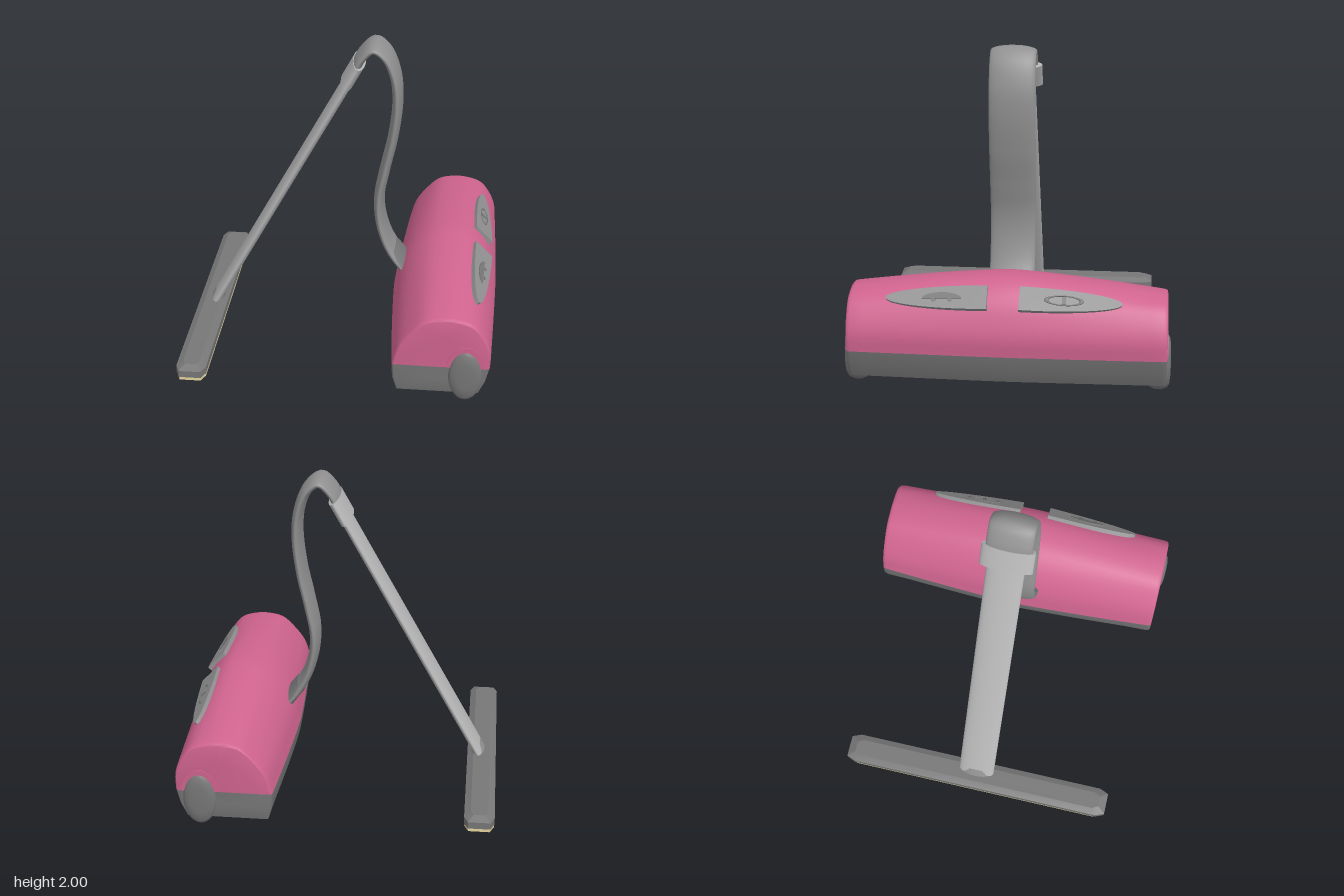
import * as THREE from 'three';
import { toCreasedNormals } from 'three/addons/utils/BufferGeometryUtils.js';

const V = (x, y, z = 0) => new THREE.Vector3(x, y, z);
const mat = (color) => new THREE.MeshStandardMaterial({ color, side: THREE.DoubleSide });

// Capped skin through closed rings of equal length
function loft(rings, crease = 0.6) {
  const n = rings[0].length, pos = [], idx = [];
  const centre = (r) => r.reduce((s, p) => s.add(p), V(0, 0)).divideScalar(n);
  rings.forEach((r) => r.forEach((p) => pos.push(p.x, p.y, p.z)));
  const last = rings.length - 1, c0 = n * rings.length;
  [rings[0], rings[last]].forEach((r) => pos.push(...centre(r).toArray()));
  for (let j = 0; j < n; j++) {
    const k = (j + 1) % n;
    for (let i = 0; i < last; i++) {
      const a = i * n + j, b = i * n + k;
      idx.push(a, b, b + n, a, b + n, a + n);
    }
    idx.push(c0, k, j, c0 + 1, last * n + j, last * n + k);
  }
  const g = new THREE.BufferGeometry();
  g.setAttribute('position', new THREE.Float32BufferAttribute(pos, 3));
  g.setIndex(idx);
  return toCreasedNormals(g, crease);
}

// Body skin: blends a middle profile into an end profile along z, with rounded rims
function bodyLoft(mid, end) {
  const stations = [];
  for (let i = -12; i <= 12; i++) stations.push([i / 12 * 0.95, 1]);
  for (const [z, s] of [[0.965, 0.99], [0.973, 0.97], [0.975, 0.95]]) {
    stations.push([z, s]);
    stations.unshift([-z, s]);
  }
  return loft(stations.map(([z, s]) => {
    const t = Math.pow(Math.min(1, Math.abs(z) / 0.95), 1.35);
    return mid.map((p, i) => {
      const q = p.clone().lerp(end[i], t);
      return V(0.68 + (q.x - 0.68) * s, 0.25 + (q.y - 0.25) * s, z);
    });
  }));
}
const points = (list) => list.map(([x, y]) => V(x, y));
const smooth = (list) => new THREE.CatmullRomCurve3(points(list)).getPoints(36);

// Straight rod in the xy plane, stretched to an oval along z
function rod(a, b, ra, rb, halfZ, z) {
  const d = b.clone().sub(a), m = a.clone().add(b).multiplyScalar(0.5);
  const g = new THREE.CylinderGeometry(rb, ra, d.length(), 40);
  g.rotateZ(Math.atan2(-d.x, d.y));
  g.scale(1, 1, halfZ / Math.max(ra, rb));
  g.translate(m.x, m.y, z);
  return g;
}

// Chamfered rectangle ring at height y for the floor head
function outline(hx, hz, cx, cz, y) {
  return [[hx, -hz + cz], [hx, hz - cz], [hx - cx, hz], [cx - hx, hz],
    [-hx, hz - cz], [-hx, cz - hz], [cx - hx, -hz], [hx - cx, -hz]]
    .map(([x, z]) => V(x - 0.905, y, 0.02 - z));
}

export function createModel() {
  const model = new THREE.Group();
  const pink = mat(0xd0648f), dark = mat(0x777777), mid = mat(0x909090);
  const light = mat(0xb4b4b4), cream = mat(0xe6d8a0);
  const add = (name, geometry, material, parent = model) => {
    const m = new THREE.Mesh(geometry, material);
    m.name = name;
    parent.add(m);
    return m;
  };

  // Body: coloured shell above a dark base
  add('bodyShell', bodyLoft(
    smooth([[0.99, 0.25], [0.995, 0.36], [0.965, 0.47], [0.91, 0.58], [0.81, 0.67],
      [0.7, 0.69], [0.57, 0.665], [0.45, 0.57], [0.36, 0.42], [0.32, 0.25]]),
    smooth([[0.975, 0.25], [0.975, 0.36], [0.94, 0.46], [0.87, 0.55], [0.77, 0.585],
      [0.68, 0.59], [0.57, 0.565], [0.48, 0.48], [0.41, 0.38], [0.37, 0.25]])), pink);
  add('bodyBase', bodyLoft(
    points([[0.32, 0.25], [0.33, 0.15], [0.38, 0.065], [0.93, 0.065], [0.97, 0.15], [0.99, 0.25]]),
    points([[0.37, 0.25], [0.375, 0.15], [0.4, 0.065], [0.91, 0.065], [0.95, 0.15], [0.975, 0.25]])), dark);

  // Oval wheels and their arches at both ends
  const wheelProfile = [[0, 0.135], [0.5, 0.134], [0.8, 0.128], [0.93, 0.113], [1, 0.08],
    [1, 0.04], [0.92, 0.01], [0.8, 0], [0, 0]].reverse().map(([r, h]) => new THREE.Vector2(r, h));
  for (const side of [1, -1]) {
    const wheel = new THREE.LatheGeometry(wheelProfile, 48);
    wheel.rotateX(side * Math.PI / 2);
    wheel.scale(0.11, 0.185, 1);
    wheel.translate(0.825, 0.195, side * 0.865);
    add(side > 0 ? 'frontWheel' : 'backWheel', toCreasedNormals(wheel, 0.9), dark);

    const arch = new THREE.Shape();
    arch.absellipse(0, 0, 0.125, 0.205, 0.28, Math.PI - 0.28, false);
    const archGeo = new THREE.ExtrudeGeometry(arch, { depth: 0.08, bevelEnabled: false, curveSegments: 32 });
    archGeo.translate(0.825, 0.195, side > 0 ? 0.9 : -0.98);
    add('wheelArch', toCreasedNormals(archGeo, 0.6), pink);
  }

  // Two raised half-oval pedals on the sloping side
  const pedalShape = new THREE.Shape();
  pedalShape.absellipse(0, 0, 0.62, 0.077, -Math.PI / 2, Math.PI / 2, false);
  for (const side of [1, -1]) {
    const pedal = new THREE.Group();
    pedal.name = side > 0 ? 'cordPedal' : 'powerPedal';
    const X = V(-0.03, -0.045, side).normalize();
    const Y = V(0.72, 0.69, 0).cross(X).normalize();
    pedal.setRotationFromMatrix(new THREE.Matrix4().makeBasis(X, Y, X.clone().cross(Y)));
    pedal.position.set(0.911, 0.607, side > 0 ? 0.115 : -0.08);
    model.add(pedal);
    const g = new THREE.ExtrudeGeometry(pedalShape, { depth: 0.075, bevelEnabled: false, curveSegments: 32 });
    g.translate(0, 0, -0.075);
    add('pedalPlate', toCreasedNormals(g, 0.6), mid, pedal);
    if (side < 0) {
      // Embossed ring and bar
      const ring = new THREE.TorusGeometry(1, 0.13, 8, 40);
      ring.scale(0.107, 0.03, 0.04);
      add('raisedRing', ring.translate(0.27, 0, 0), dark, pedal);
      add('raisedBar', new THREE.BoxGeometry(0.025, 0.045, 0.01).translate(0.27, 0, 0), dark, pedal);
    } else {
      // Embossed plug
      const dome = new THREE.Shape();
      dome.absellipse(0, 0, 0.12, 0.04, Math.PI, Math.PI * 2, false);
      const plug = new THREE.ExtrudeGeometry(dome, { depth: 0.006, bevelEnabled: false });
      add('raisedDome', plug.translate(0.275, 0.01, 0), dark, pedal);
      for (const x of [-0.05, 0.05])
        add('raisedProng', new THREE.BoxGeometry(0.025, 0.02, 0.012).translate(0.275 + x, 0.02, 0), dark, pedal);
    }
  }

  // Flattened hose and its cuff at the body
  const path = new THREE.CatmullRomCurve3(points([[0.05, 1.8], [0.1, 1.9], [0.175, 1.964], [0.25, 1.91],
    [0.308, 1.77], [0.324, 1.6], [0.3, 1.36], [0.25, 1.12], [0.216, 0.93], [0.222, 0.78],
    [0.265, 0.62], [0.33, 0.5], [0.42, 0.39]]));
  const hose = new THREE.TubeGeometry(path, 120, 0.034, 32);
  hose.scale(1, 1, 0.145 / 0.034);
  add('hose', hose.translate(0, 0, 0.015), mid);
  add('hoseCuff', rod(V(0.3, 0.545), V(0.43, 0.375), 0.04, 0.045, 0.15, 0.015), dark);

  // Wand, collar and swivel neck
  add('wand', rod(V(-0.885, 0.09), V(0.045, 1.78), 0.034, 0.034, 0.12, 0.01), light);
  add('wandCollar', rod(V(0.003, 1.715), V(0.08, 1.855), 0.044, 0.044, 0.168, 0.012), light);
  add('wandNeck', rod(V(-0.885, 0.075), V(-0.86, 0.135), 0.046, 0.036, 0.122, 0.01), mid);

  // Floor head: dark housing, cream skirt, dark sole
  add('floorHead', loft([outline(0.095, 0.91, 0.025, 0.06, 0.03), outline(0.095, 0.91, 0.025, 0.06, 0.075),
    outline(0.055, 0.86, 0.02, 0.04, 0.1)], 0.3), dark);
  add('headSkirt', loft([outline(0.092, 0.9, 0.025, 0.06, 0.004), outline(0.092, 0.9, 0.025, 0.06, 0.032)], 0.3), cream);
  add('headSole', loft([outline(0.078, 0.885, 0.022, 0.055, 0), outline(0.078, 0.885, 0.022, 0.055, 0.02)], 0.3), dark);
  return model;
}
